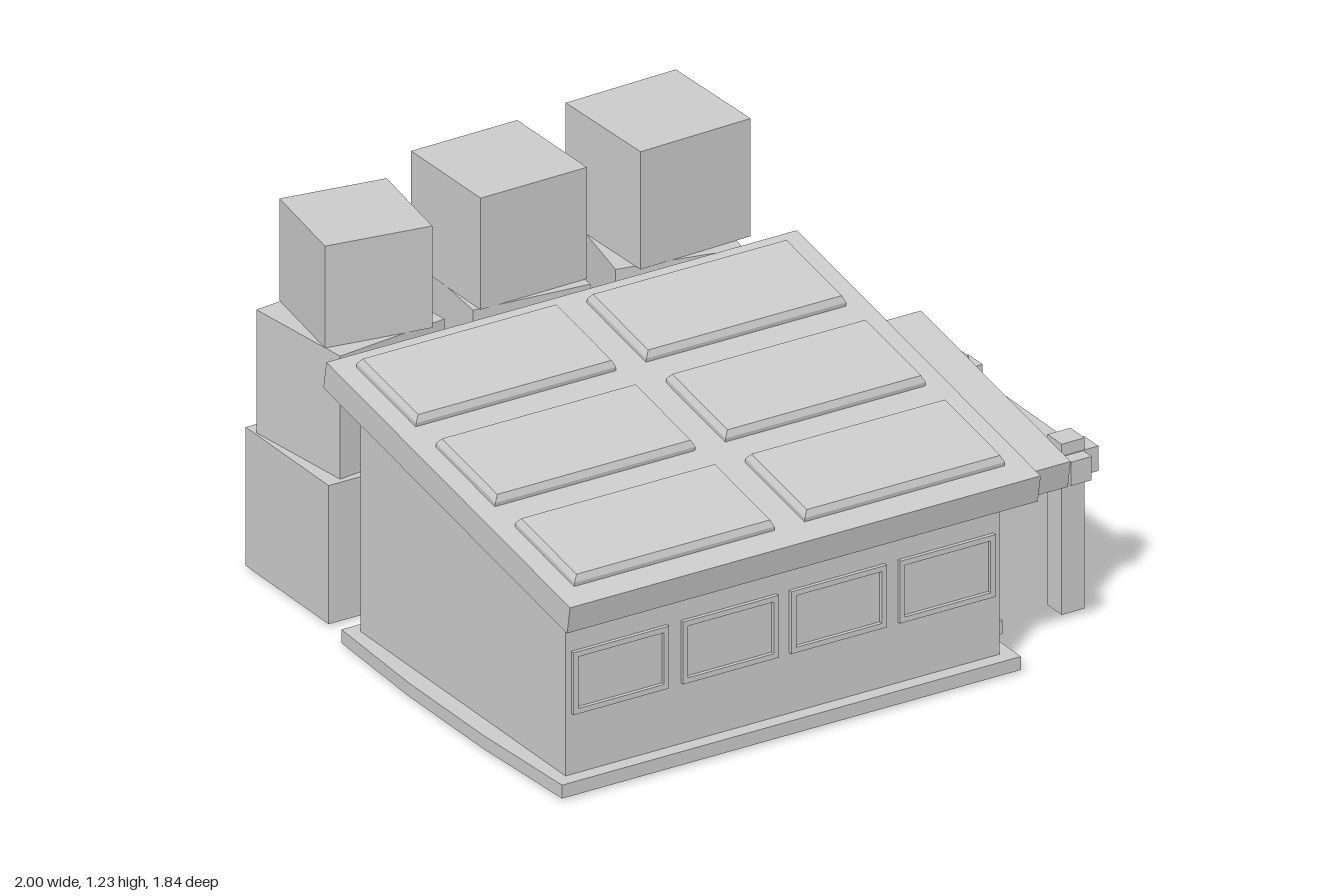
import * as THREE from 'three';

const TILT = THREE.MathUtils.degToRad(10.2);
const material = new THREE.MeshStandardMaterial({ color: 0xcccccc, flatShading: true });

function add(parent, name, geometry, x = 0, y = 0, z = 0) {
  const mesh = new THREE.Mesh(geometry, material);
  mesh.name = name;
  mesh.position.set(x, y, z);
  parent.add(mesh);
  return mesh;
}

// Box given by its minimum and maximum on each axis
function span(parent, name, [x0, x1], [y0, y1], [z0, z1]) {
  return add(parent, name, new THREE.BoxGeometry(x1 - x0, y1 - y0, z1 - z0),
    (x0 + x1) / 2, (y0 + y1) / 2, (z0 + z1) / 2);
}

// Wall block between two x values with a top that follows a roof slope
function slopedBlock(parent, name, [x0, x1], y0, [z0, z1], topAt) {
  const shape = new THREE.Shape([
    new THREE.Vector2(z0, y0), new THREE.Vector2(z1, y0),
    new THREE.Vector2(z1, topAt(z1)), new THREE.Vector2(z0, topAt(z0)),
  ]);
  const geo = new THREE.ExtrudeGeometry(shape, { depth: x1 - x0, bevelEnabled: false });
  geo.rotateY(-Math.PI / 2);
  return add(parent, name, geo, x1, 0, 0);
}

// Slab whose upper edges are drawn in by a small chamfer
function chamferedSlab(w, h, d, inset) {
  const geo = new THREE.BoxGeometry(w, h, d, 1, 2, 1);
  const p = geo.attributes.position;
  for (let i = 0; i < p.count; i++) {
    if (p.getY(i) < h / 4) continue;
    p.setX(i, p.getX(i) - Math.sign(p.getX(i)) * inset);
    p.setZ(i, p.getZ(i) - Math.sign(p.getZ(i)) * inset);
  }
  geo.computeVertexNormals();
  return geo;
}

function rectFrame(w, h, depth, border) {
  const rect = (T, a, b) => new T([[-a, -b], [a, -b], [a, b], [-a, b]]
    .map(([x, y]) => new THREE.Vector2(x, y)));
  const shape = rect(THREE.Shape, w / 2, h / 2);
  shape.holes.push(rect(THREE.Path, w / 2 - border, h / 2 - border));
  return new THREE.ExtrudeGeometry(shape, { depth, bevelEnabled: false });
}

export function createModel() {
  const model = new THREE.Group();
  model.name = 'house';
  const slope = Math.tan(TILT);
  const mainTop = (z) => 0.73 + (0.255 - z) * slope;
  const porchTop = (z) => 0.55 + (0.25 - z) * slope;

  // Foundation with a step out for the entrance and a slightly bowed left side
  const outline = [[-0.98, 0.845], [0.58, 0.845], [0.58, 0.62], [0.66, 0.62], [0.66, -0.12],
    [0.58, -0.12], [0.58, -0.345], [-0.98, -0.345], [-1, 0.05], [-1, 0.45]];
  const baseShape = new THREE.Shape(outline.map(([x, z]) => new THREE.Vector2(x, -z)));
  const baseGeo = new THREE.ExtrudeGeometry(baseShape, { depth: 0.043, bevelEnabled: false });
  baseGeo.rotateX(-Math.PI / 2);
  add(model, 'foundation', baseGeo, 0, 0.007, 0);

  // Walls
  slopedBlock(model, 'walls', [-0.94, 0.535], 0.04, [-0.305, 0.8], mainTop);

  // Entrance: two jambs, a recessed door and a threshold
  for (const z of [-0.085, 0.555]) {
    slopedBlock(model, 'doorJamb', [0.53, 0.62], 0.04, [z, z + 0.03], porchTop);
  }
  slopedBlock(model, 'door', [0.53, 0.59], 0.04, [-0.06, 0.56], porchTop);
  span(model, 'threshold', [0.53, 0.61], [0.04, 0.065], [-0.06, 0.56]);

  // Front windows
  for (const x of [-0.7575, -0.385, -0.0175, 0.3525]) {
    add(model, 'windowFrame', rectFrame(0.325, 0.2, 0.03, 0.017), x, 0.345, 0.782);
  }

  // Main roof with six raised panels
  const roof = new THREE.Group();
  roof.name = 'mainRoof';
  roof.position.set(-0.2, 0.73, 0.255);
  roof.rotation.x = TILT;
  model.add(roof);
  add(roof, 'roofSlab', new THREE.BoxGeometry(1.6, 0.09, 1.335));
  for (const x of [-0.3925, 0.39]) {
    for (const row of [-1, 0, 1]) {
      add(roof, 'roofPanel', chamferedSlab(0.68, 0.04, 0.325, 0.011), x, 0.058, -0.015 + row * 0.434);
    }
  }

  // Porch roof
  const porch = add(model, 'porchRoof', new THREE.BoxGeometry(0.335, 0.09, 0.82), 0.6975, 0.552, 0.25);
  porch.rotation.x = TILT;

  // Porch posts, beam and cross stubs
  span(model, 'porchBeam', [0.88, 0.95], [0.432, 0.508], [-0.15, 0.64]);
  for (const z of [-0.067, 0.557]) {
    span(model, 'porchPost', [0.876, 0.954], [0, 0.548], [z - 0.038, z + 0.038]);
    span(model, 'crossStub', [0.865, 1], [0.43, 0.51], [z - 0.039, z + 0.039]);
  }

  // Stacked crates behind the house: size, height, bottom, centre x, centre z, turn in degrees
  const crates = [
    [0.447, 0.445, 0.007, -0.723, -0.69, 0],
    [0.385, 0.395, 0.452, -0.727, -0.697, 6.5],
    [0.335, 0.327, 0.847, -0.713, -0.69, -9.2],
    [0.447, 0.445, 0.007, -0.205, -0.692, 0],
    [0.377, 0.395, 0.452, -0.208, -0.7, -5.7],
    [0.365, 0.358, 0.847, -0.215, -0.708, 1],
    [0.447, 0.445, 0.007, 0.308, -0.688, 0],
    [0.392, 0.395, 0.452, 0.305, -0.687, -12],
    [0.383, 0.378, 0.847, 0.318, -0.695, 2],
  ];
  for (const [s, h, y, x, z, turn] of crates) {
    const crate = add(model, 'crate', new THREE.BoxGeometry(s, h, s), x, y + h / 2, z);
    crate.rotation.y = THREE.MathUtils.degToRad(turn);
  }
  return model;
}
